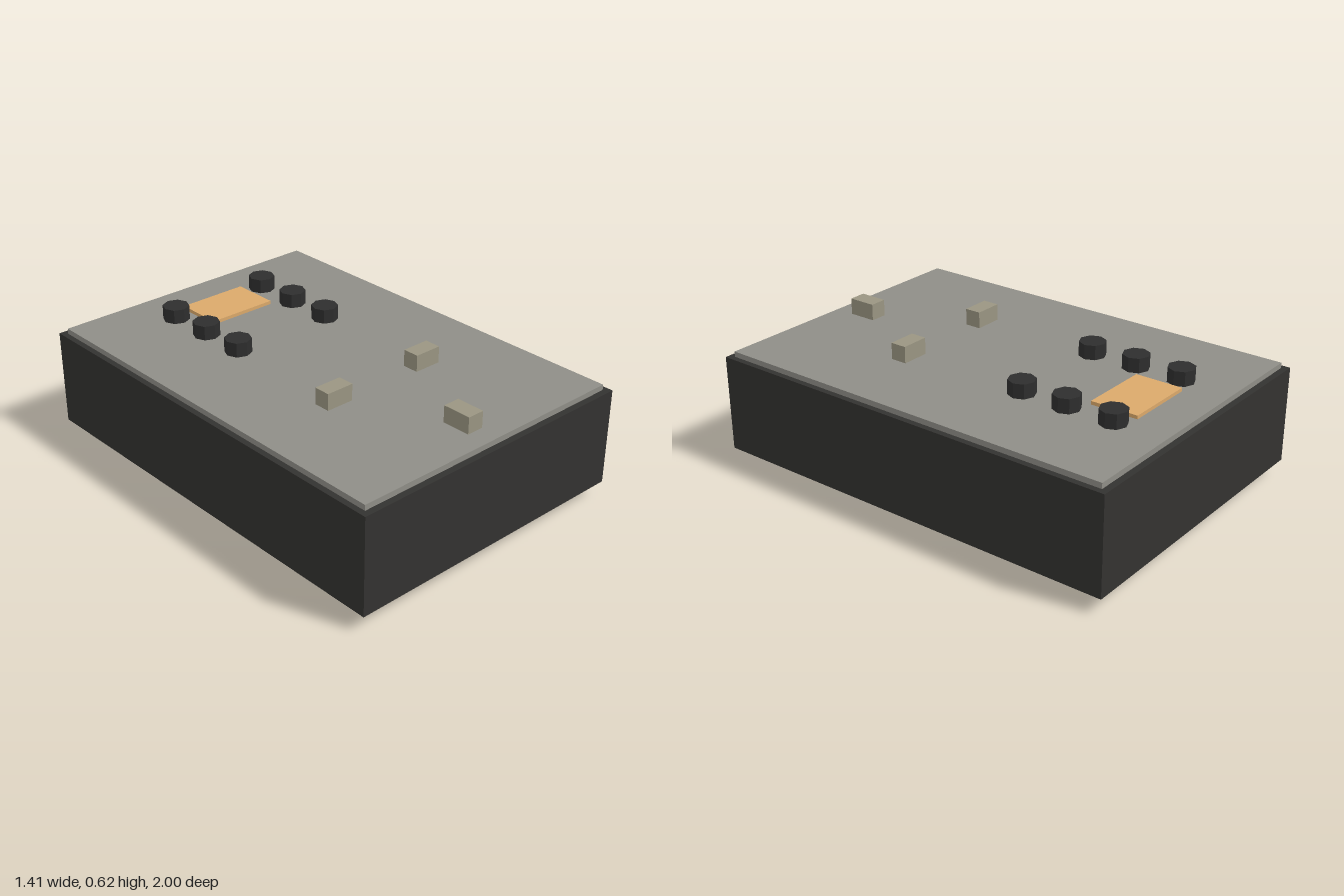
import * as THREE from 'three';

const material = (color) => new THREE.MeshStandardMaterial({ color, flatShading: true });

export function createModel() {
  const model = new THREE.Group();
  const body = material(0x333230);
  const panel = material(0x8f8e87);
  const rubber = material(0x262525);
  const knobBlack = material(0x2e2e2e);
  const amber = material(0xdba96b);
  const metal = material(0x9a9582);

  const add = (name, geometry, mat, x, y, z) => {
    const mesh = new THREE.Mesh(geometry, mat);
    mesh.name = name;
    mesh.position.set(x, y, z);
    model.add(mesh);
  };
  // Box standing on height y
  const box = (name, mat, w, h, d, x, y, z) =>
    add(name, new THREE.BoxGeometry(w, h, d), mat, x, y + h / 2, z);

  // Case and top plate
  const caseTop = 0.515;
  const plateTop = 0.54;
  box('case', body, 1.414, caseTop - 0.07, 2, 0, 0.07, 0);
  box('topPlate', panel, 1.36, plateTop - caseTop, 1.94, 0, caseTop, 0);

  // Foot rails at front and back
  for (const side of [1, -1]) {
    box(side > 0 ? 'frontFoot' : 'backFoot', rubber, 1.23, 0.07, 0.166, 0, 0, side * 0.838);
  }

  // Display window between the knobs
  box('display', amber, 0.333, 0.016, 0.222, 0, plateTop, -0.675);

  // Knobs in two columns of three, and a pair of side switches
  const knob = new THREE.CylinderGeometry(0.061, 0.061, 0.066, 8);
  for (const side of [1, -1]) {
    const label = side > 0 ? 'left' : 'right';
    for (let row = 0; row < 3; row++) {
      add(`${label}Knob${row + 1}`, knob, knobBlack, side * 0.252, plateTop + 0.033, -0.73 + row * 0.224);
    }
    box(`${label}Switch`, metal, 0.132, 0.076, 0.076, side * 0.252, plateTop, 0.334);
  }

  // Single switch near the front edge
  box('frontSwitch', metal, 0.08, 0.076, 0.132, 0, plateTop, 0.81);

  return model;
}
